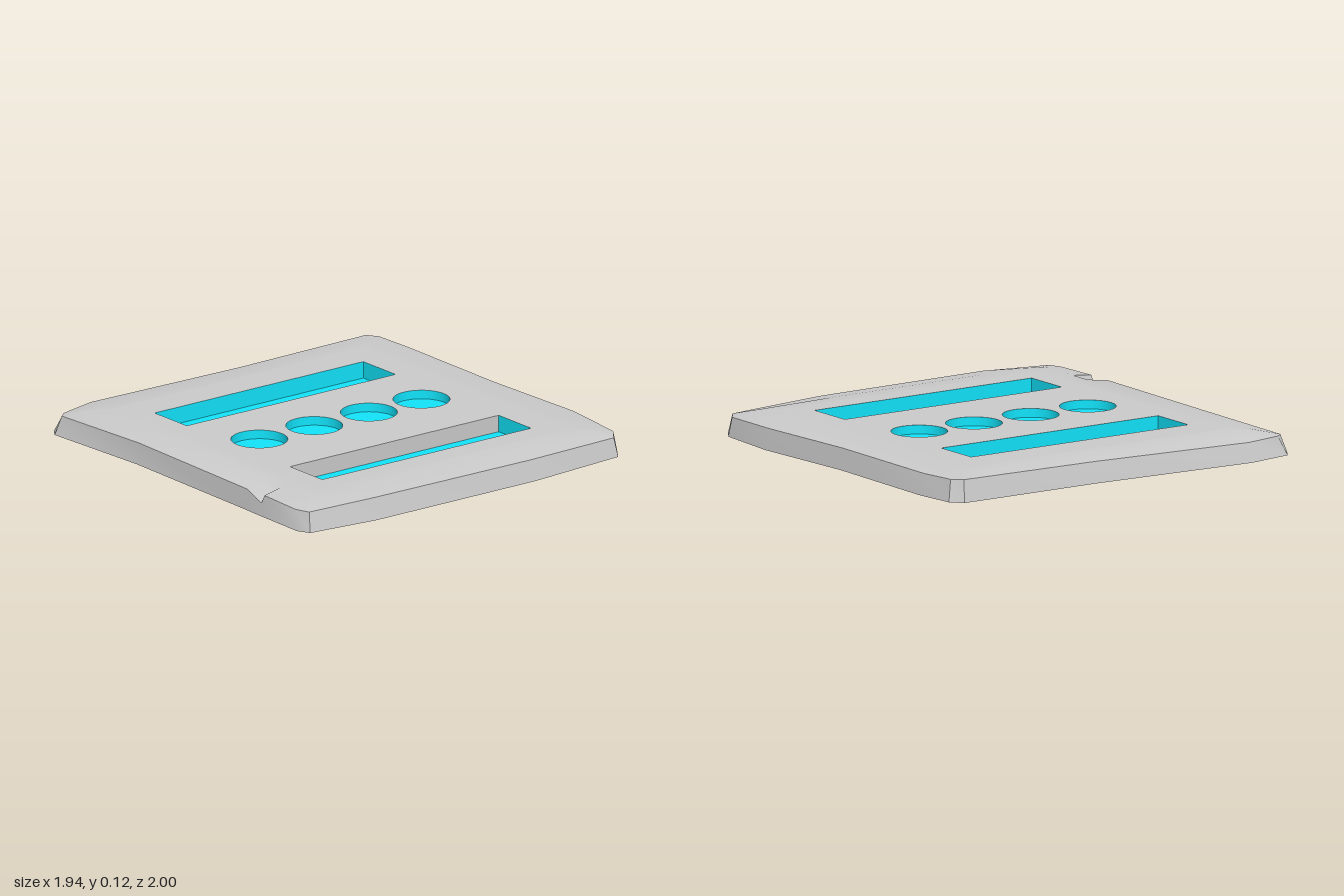
import * as THREE from 'three';
import { mergeGeometries, toCreasedNormals } from 'three/addons/utils/BufferGeometryUtils.js';

const TOP = 0.12;

// slab outline seen from above: foot x, z, then rim x, height, z
const OUTLINE = [
  [-0.97, -0.915, -0.94, 0.09, -0.9], [-0.94, -0.96, -0.905, 0.09, -0.93], [-0.71, -1, -0.71, 0.092, -0.975],
  [0.14, -0.955, 0.14, 0.1, -0.935], [0.89, -0.955, 0.88, 0.106, -0.935], [0.94, -0.9, 0.92, 0.104, -0.885],
  [0.96, -0.69, 0.935, 0.1, -0.69], [0.94, -0.03, 0.925, 0.102, -0.03], [0.97, 0.53, 0.95, 0.1, 0.53],
  [0.94, 0.87, 0.925, 0.092, 0.86], [0.88, 0.955, 0.87, 0.09, 0.935], [0.35, 1, 0.35, 0.1, 0.978],
  [-0.58, 1, -0.58, 0.104, 0.978], [-0.94, 0.96, -0.93, 0.095, 0.94], [-0.97, 0.9, -0.955, 0.095, 0.87],
  // chipped notch
  [-0.965, 0.63, -0.95, 0.1, 0.63], [-0.965, 0.615, -0.955, 0.06, 0.615], [-0.96, 0.5, -0.95, 0.098, 0.5],
  [-0.94, -0.34, -0.925, 0.1, -0.34],
];

const SLOT = { x0: -0.63, x1: 0.6, depth: 0.08 };
const SLOTS = [[-0.598, -0.358], [0.415, 0.657]];
const WELL = { r: 0.132, z: 0.005, depth: 0.042 };
const WELLS = [-0.488, -0.164, 0.158, 0.468];

// quad strip between two closed rings, skipping collapsed triangles
function strip(lower, upper) {
  const pos = [];
  const tri = (a, b, c) => {
    const n = b.clone().sub(a).cross(c.clone().sub(a));
    if (n.length() > 1e-9) for (const p of [a, b, c]) pos.push(p.x, p.y, p.z);
  };
  lower.forEach((a, i) => {
    const j = (i + 1) % lower.length;
    tri(a, upper[i], upper[j]);
    tri(a, upper[j], lower[j]);
  });
  const g = new THREE.BufferGeometry();
  g.setAttribute('position', new THREE.Float32BufferAttribute(pos, 3));
  return g;
}

function flat(shape, angle, y) {
  const g = new THREE.ShapeGeometry(shape, 24).rotateX(angle).translate(0, y, 0).toNonIndexed();
  g.deleteAttribute('uv');
  g.deleteAttribute('normal');
  return g;
}

function slabGeometry() {
  const V = (x, y, z) => new THREE.Vector3(x, y, z);
  const clamp = THREE.MathUtils.clamp;
  const foot = OUTLINE.map(([x, z]) => V(x, 0, z));
  const rim = OUTLINE.map(([, , x, y, z]) => V(x, y, z));
  const inner = rim.map((p) => V(clamp(p.x, -0.74, 0.74), TOP, clamp(p.z, -0.77, 0.77)));
  const mid = rim.map((p, i) => {
    const m = p.clone().lerp(inner[i], 0.55);
    m.y = THREE.MathUtils.lerp(Math.max(p.y, 0.098), TOP, 0.75);
    return m;
  });

  // flat centre with openings for the recesses
  const plate = new THREE.Shape([
    new THREE.Vector2(-0.74, -0.77), new THREE.Vector2(0.74, -0.77),
    new THREE.Vector2(0.74, 0.77), new THREE.Vector2(-0.74, 0.77),
  ]);
  for (const [z0, z1] of SLOTS) {
    plate.holes.push(new THREE.Path([
      new THREE.Vector2(SLOT.x0, -z0), new THREE.Vector2(SLOT.x1, -z0),
      new THREE.Vector2(SLOT.x1, -z1), new THREE.Vector2(SLOT.x0, -z1),
    ]));
  }
  for (const x of WELLS) {
    plate.holes.push(new THREE.Path().absarc(x, -WELL.z, WELL.r, 0, Math.PI * 2, true));
  }
  const base = new THREE.Shape(OUTLINE.map(([x, z]) => new THREE.Vector2(x, z)));

  return toCreasedNormals(mergeGeometries([
    strip(foot, rim), strip(rim, mid), strip(mid, inner),
    flat(plate, -Math.PI / 2, TOP), flat(base, Math.PI / 2, 0),
  ]), 0.5);
}

export function createModel() {
  const model = new THREE.Group();
  model.name = 'recessedSlab';
  const grey = new THREE.MeshStandardMaterial({ color: 0xcccccc });
  const cyan = new THREE.MeshStandardMaterial({ color: 0x12e4fb });
  const cyanInside = new THREE.MeshStandardMaterial({ color: 0x12e4fb, side: THREE.BackSide });

  const add = (parent, name, geometry, material, x, y, z, rx = 0, ry = 0) => {
    const mesh = new THREE.Mesh(geometry, material);
    mesh.name = name;
    mesh.position.set(x, y, z);
    mesh.rotation.set(rx, ry, 0);
    parent.add(mesh);
  };
  const addGroup = (name) => {
    const group = new THREE.Group();
    group.name = name;
    model.add(group);
    return group;
  };

  add(model, 'slab', slabGeometry(), grey, 0, 0, 0);

  // long rectangular recesses
  SLOTS.forEach(([z0, z1], i) => {
    const slot = addGroup(i ? 'frontSlot' : 'backSlot');
    const { x0, x1, depth: d } = SLOT;
    const w = x1 - x0, l = z1 - z0, cx = (x0 + x1) / 2, cz = (z0 + z1) / 2, y = TOP - d / 2;
    const longWall = new THREE.PlaneGeometry(w, d);
    const endWall = new THREE.PlaneGeometry(l, d);
    add(slot, 'slotFloor', new THREE.PlaneGeometry(w, l), cyan, cx, TOP - d, cz, -Math.PI / 2);
    add(slot, 'slotBackWall', longWall, i ? grey : cyan, cx, y, z0);
    add(slot, 'slotFrontWall', longWall, cyan, cx, y, z1, 0, Math.PI);
    add(slot, 'slotRightWall', endWall, cyan, x0, y, cz, 0, Math.PI / 2);
    add(slot, 'slotLeftWall', endWall, cyan, x1, y, cz, 0, -Math.PI / 2);
  });

  // row of round wells
  const wellWall = new THREE.CylinderGeometry(WELL.r, WELL.r, WELL.depth, 48, 1, true);
  const wellFloor = new THREE.CircleGeometry(WELL.r, 48);
  for (const x of WELLS) {
    const well = addGroup('roundWell');
    add(well, 'wellWall', wellWall, cyanInside, x, TOP - WELL.depth / 2, WELL.z);
    add(well, 'wellFloor', wellFloor, cyan, x, TOP - WELL.depth, WELL.z, -Math.PI / 2);
  }
  return model;
}
